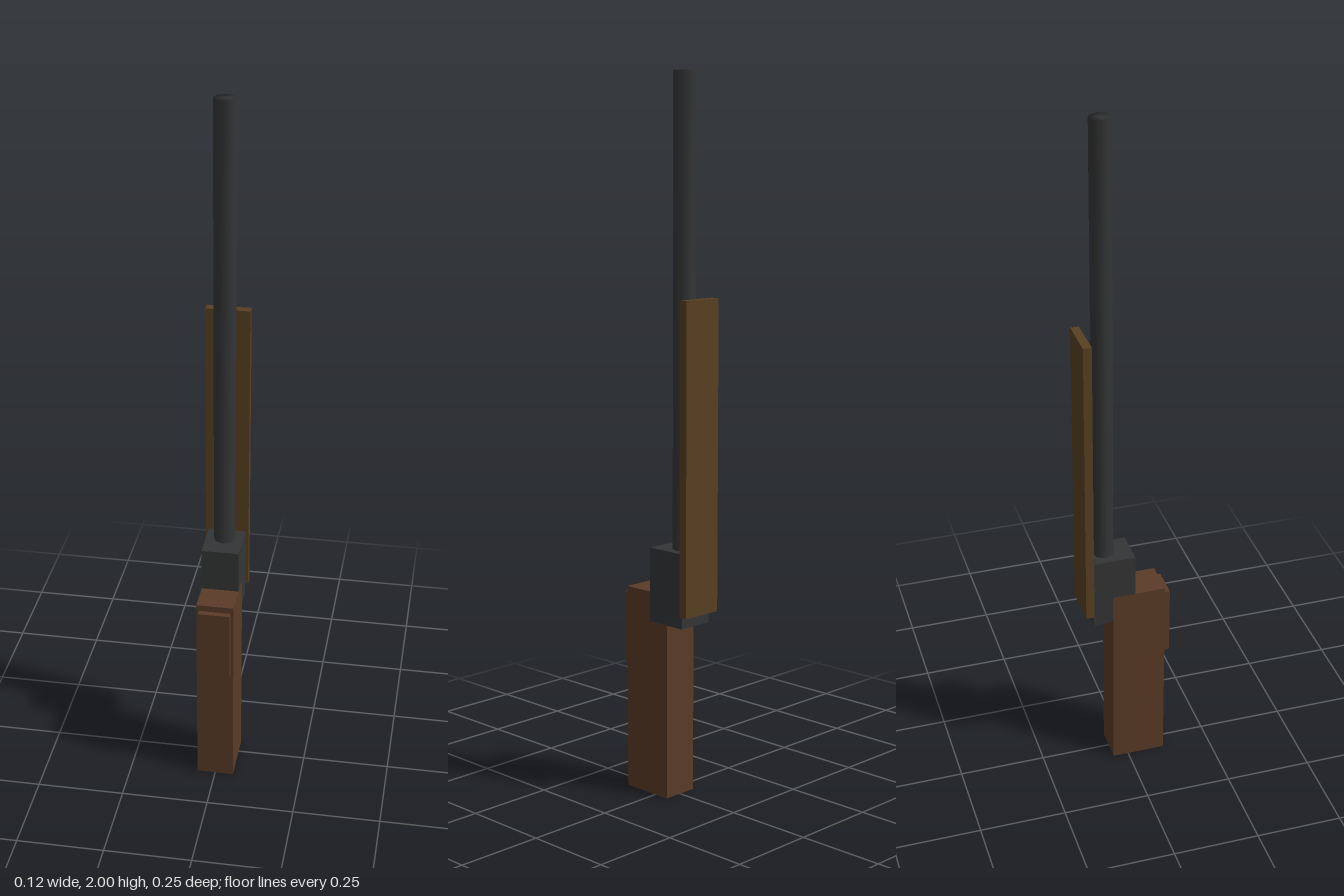
import * as THREE from 'three';
import { mergeVertices } from 'three/addons/utils/BufferGeometryUtils.js';

export function createModel() {
  const group = new THREE.Group();
  const wood = new THREE.MeshStandardMaterial({ color: 0x5a3b27 });
  const paleWood = new THREE.MeshStandardMaterial({ color: 0x584022 });
  const steel = new THREE.MeshStandardMaterial({ color: 0x343536 });

  const add = (name, geometry, material) => {
    const mesh = new THREE.Mesh(geometry, material);
    mesh.name = name;
    group.add(mesh);
    return mesh;
  };

  // Box centred on x, given by its half width and its y and z ranges
  const block = (name, material, halfWidth, [y0, y1], [z0, z1]) => {
    const mesh = add(name, new THREE.BoxGeometry(2 * halfWidth, y1 - y0, z1 - z0), material);
    mesh.position.set(0, (y0 + y1) / 2, (z0 + z1) / 2);
  };

  block('stock', wood, 0.053, [0, 0.585], [-0.045, 0.11]);
  block('cheekRest', wood, 0.045, [0.36, 0.567], [0.11, 0.127]);
  block('receiver', steel, 0.053, [0.5, 0.71], [-0.103, 0.021]);
  block('foreEnd', paleWood, 0.062, [0.535, 1.4], [-0.127, -0.103]);

  // Eight-sided barrel, shaded smoothly across the closed muzzle
  let tube = new THREE.CylinderGeometry(0.031, 0.031, 1.29, 8);
  tube.deleteAttribute('normal');
  tube.deleteAttribute('uv');
  tube = mergeVertices(tube);
  tube.computeVertexNormals();
  add('barrel', tube, steel).position.set(0, 1.355, -0.059);

  return group;
}
